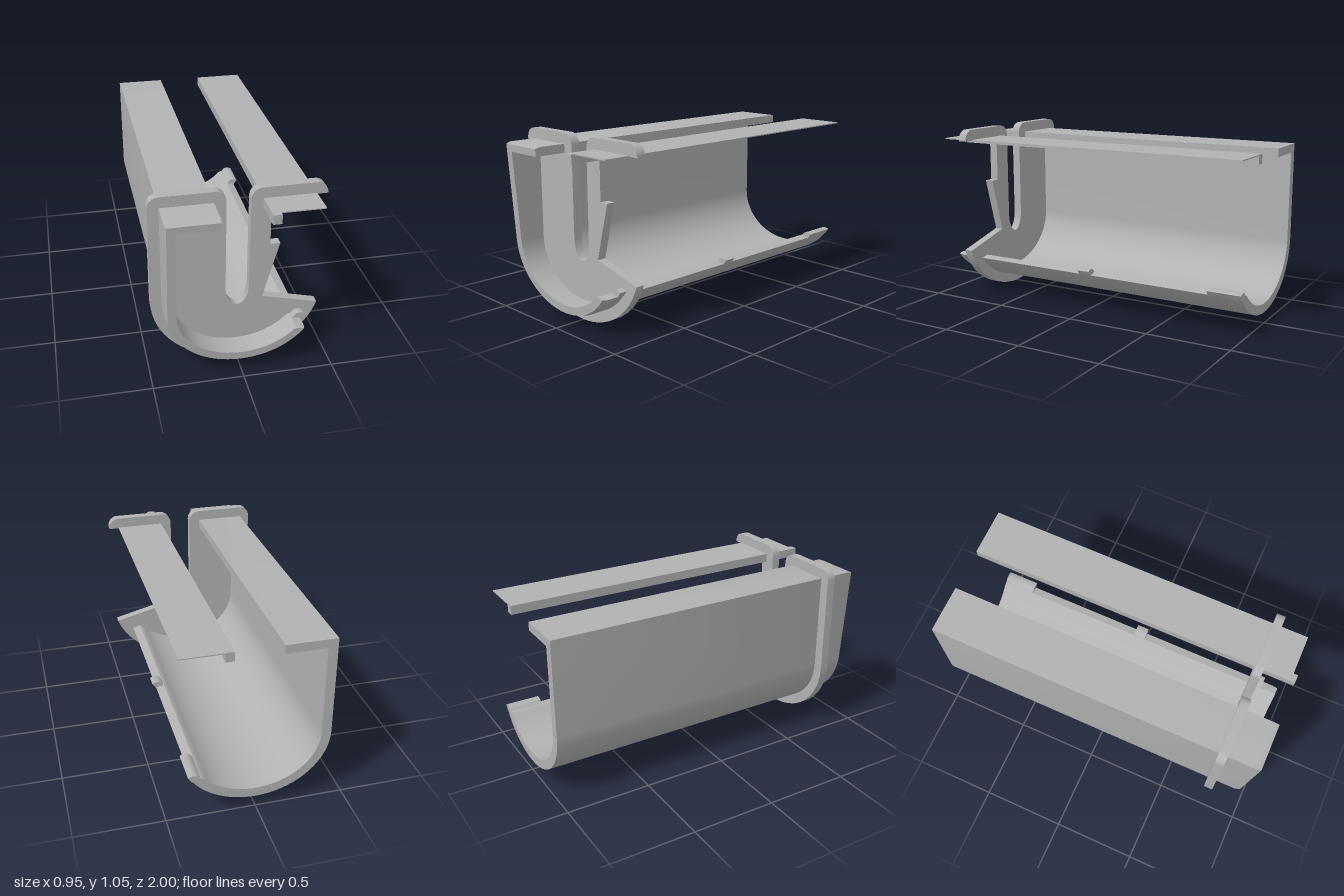
import * as THREE from 'three';
import { toCreasedNormals } from 'three/addons/utils/BufferGeometryUtils.js';

const grey = new THREE.MeshStandardMaterial({ color: 0xb2b2b2 });
grey.name = 'grey plastic';
const CY = 0.42; // height where the straight wall meets the rounded bottom

// Points on an ellipse from angle a to angle b
function arc(cx, cy, rx, ry, a, b, n) {
  return Array.from({ length: n + 1 }, (_, i) => {
    const t = a + (b - a) * i / n;
    return [cx + rx * Math.cos(t), cy + ry * Math.sin(t)];
  });
}

function addMesh(group, name, geometry) {
  const mesh = new THREE.Mesh(toCreasedNormals(geometry, 0.5), grey);
  mesh.name = name;
  group.add(mesh);
}

// Straight extrusion of an outline between two depths
function addExtrusion(group, name, points, z0, z1) {
  const shape = new THREE.Shape(points.map(p => new THREE.Vector2(...p)));
  const geometry = new THREE.ExtrudeGeometry(shape, { depth: z1 - z0, bevelEnabled: false });
  geometry.translate(0, 0, z0);
  addMesh(group, name, geometry);
}

function addBox(group, name, x0, x1, y0, y1, z0, z1) {
  const geometry = new THREE.BoxGeometry(x1 - x0, y1 - y0, z1 - z0);
  geometry.translate((x0 + x1) / 2, (y0 + y1) / 2, (z0 + z1) / 2);
  addMesh(group, name, geometry);
}

// Slanted front end: the top reaches further forward than the bottom
const frontZ = y => 0.937 + 0.063 * (y - 0.07) / 0.915;

// Gutter cross-section; d pulls the outer skin inward for the front chamfer
function gutterProfile(d) {
  const P = Math.PI;
  return [
    [-0.13, 0.99 - d], [-0.415 + d, 0.99 - d],
    ...arc(0, CY, 0.415 - d, 0.355 - d, P, 2 * P - 0.558, 28),
    [0.303, 0.243],
    ...arc(0, CY, 0.36, 0.3, 2 * P - 0.657, P, 28),
    [-0.36, 0.94], [-0.13, 0.94],
  ];
}

function gutterGeometry() {
  const stations = [
    gutterProfile(0).map(([x, y]) => [x, y, -1]),
    gutterProfile(0).map(([x, y]) => [x, y, frontZ(y) - 0.03]),
    gutterProfile(0.008).map(([x, y]) => [x, y, frontZ(y)]),
  ];
  const n = stations[0].length;
  const index = [];
  // Skin between neighbouring stations
  for (let s = 0; s < stations.length - 1; s++) {
    for (let i = 0; i < n; i++) {
      const j = (i + 1) % n;
      const a = s * n + i, b = s * n + j;
      index.push(a, b, b + n, a, b + n, a + n);
    }
  }
  // End caps
  const caps = s => THREE.ShapeUtils.triangulateShape(
    stations[s].map(p => new THREE.Vector2(p[0], p[1])), []);
  for (const [a, b, c] of caps(0)) index.push(a, c, b);
  for (const [a, b, c] of caps(2)) index.push(a + 2 * n, b + 2 * n, c + 2 * n);
  const geometry = new THREE.BufferGeometry();
  geometry.setAttribute('position', new THREE.Float32BufferAttribute(stations.flat(2), 3));
  geometry.setIndex(index);
  return geometry;
}

export function createModel() {
  const group = new THREE.Group();
  group.name = 'gutterConnector';
  const P = Math.PI;

  // J-shaped channel with its folded top edge
  addMesh(group, 'gutterChannel', gutterGeometry());

  // Rounded raised lips along the free edge
  const lip = [[0.303, 0.24], [0.353, 0.228], [0.375, 0.259], [0.36, 0.267], [0.337, 0.268], [0.32, 0.26]];
  for (const [z0, z1] of [[-1, -0.8], [-0.05, 0.025], [0.8, 0.85]]) {
    addExtrusion(group, 'edgeLip', lip, z0, z1);
  }

  // Collar with two rounded heads, a U slot and a latch notch
  const collar = [
    ...arc(-0.415, 0.99, 0.06, 0.062, P, P / 2, 8),
    ...arc(-0.127, 0.99, 0.062, 0.062, P / 2, 0, 8),
    ...arc(0, 0.465, 0.065, 0.12, P, 2 * P, 16),
    ...arc(0.127, 0.99, 0.062, 0.062, P, P / 2, 8),
    ...arc(0.415, 0.99, 0.06, 0.062, P / 2, 0, 8),
    [0.475, 0.985], [0.175, 0.985], [0.175, 0.71], [0.23, 0.71], [0.14, 0.38],
    ...arc(0, CY, 0.475, 0.42, -0.29, -P, 36),
  ];
  addExtrusion(group, 'collar', collar, 0.755, 0.807);

  // Thin top strip on the open side with its downturned inner rib
  addBox(group, 'topStrip', 0.13, 0.415, 0.984, 0.99, -1, 0.967);
  addBox(group, 'stripRib', 0.13, 0.178, 0.937, 0.99, -1, 0.993);

  return group;
}
